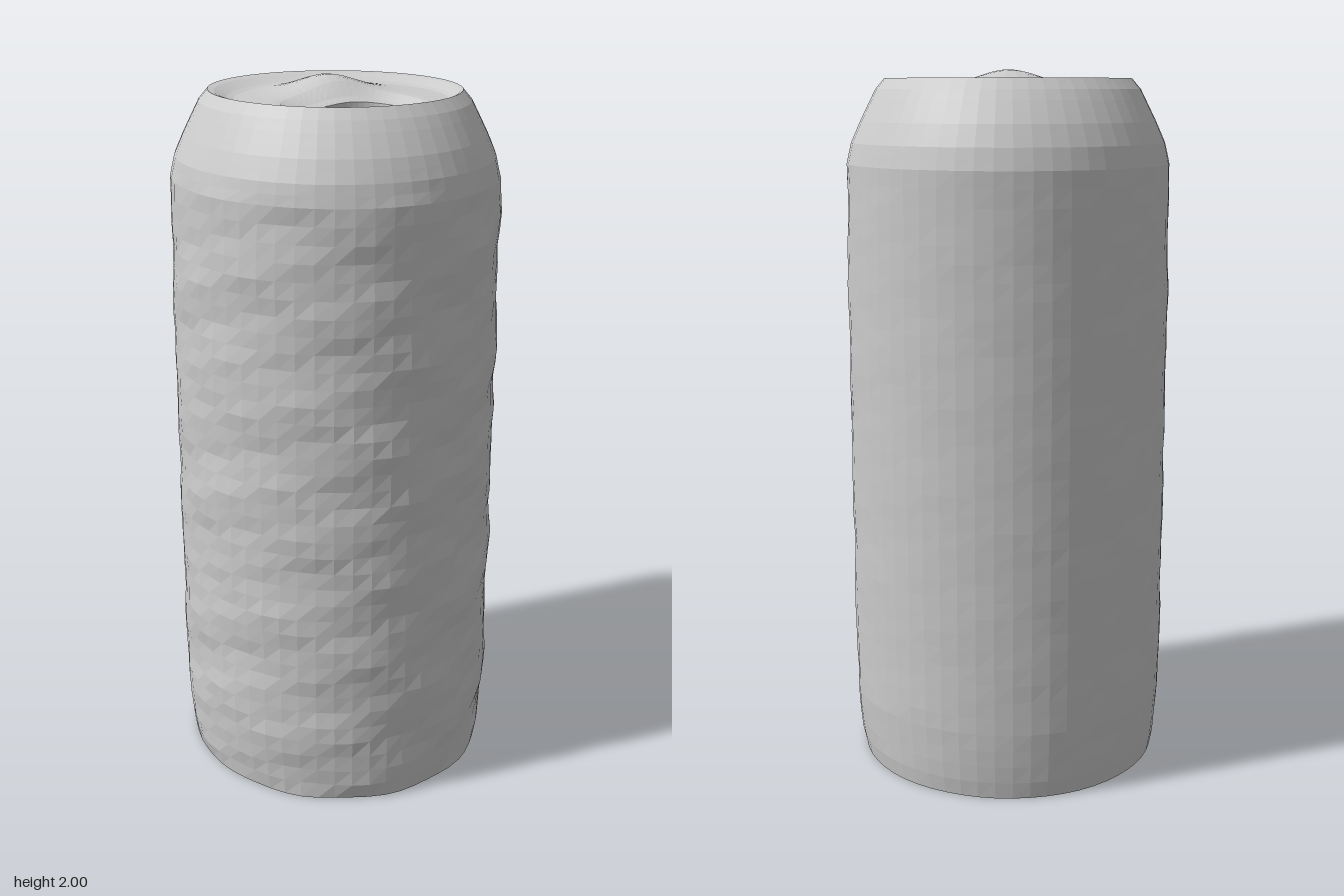
import * as THREE from 'three';

const SEG = 56;
const material = new THREE.MeshStandardMaterial({ color: 0xcccccc, flatShading: true, side: THREE.DoubleSide });
const smooth = (a, b, v) => THREE.MathUtils.smoothstep(v, a, b);

// Ring-by-ring surface; point(t, angle) gives a vertex, t runs 0..1
function ringSurface(name, rows, point) {
  const pos = [], index = [];
  for (let r = 0; r <= rows; r++)
    for (let s = 0; s < SEG; s++) pos.push(...point(r / rows, (s / SEG) * Math.PI * 2));
  for (let r = 0; r < rows; r++)
    for (let s = 0; s < SEG; s++) {
      const a = r * SEG + s, b = r * SEG + (s + 1) % SEG;
      index.push(a, b, b + SEG, a, b + SEG, a + SEG);
    }
  const g = new THREE.BufferGeometry();
  g.setAttribute('position', new THREE.Float32BufferAttribute(pos, 3));
  g.setIndex(index);
  g.computeVertexNormals();
  const mesh = new THREE.Mesh(g, material);
  mesh.name = name;
  return mesh;
}

// Half widths [y, x, z] up the can
const PROFILE = [
  [0, 0.435, 0.46], [0.06, 0.447, 0.468], [0.2, 0.457, 0.475], [0.5, 0.46, 0.476],
  [1, 0.461, 0.478], [1.4, 0.462, 0.481], [1.74, 0.458, 0.485], [1.8, 0.445, 0.472],
  [1.86, 0.418, 0.447], [1.92, 0.388, 0.41], [1.96, 0.368, 0.382], [1.975, 0.35, 0.367],
];
function halfWidths(y) {
  let i = 0;
  while (i < PROFILE.length - 2 && y > PROFILE[i + 1][0]) i++;
  const p = PROFILE[i], q = PROFILE[i + 1], k = (y - p[0]) / (q[0] - p[0]);
  return [p[1] + (q[1] - p[1]) * k, p[2] + (q[2] - p[2]) * k];
}

// Small dents, strong on the front and faint on the back
function dent(a, y) {
  const n = Math.sin(19 * y + 3 * Math.sin(2 * a)) * 0.4 + Math.sin(31 * y - 5 * a) * 0.3
    + Math.sin(9 * a + 13 * y) * 0.3 + Math.sin(47 * y + 11 * a) * 0.25;
  const front = 0.15 + 0.85 * smooth(-0.5, 0.5, Math.cos(a));
  return 0.007 * n * front * (1 - smooth(1.65, 1.85, y));
}

function wallPoint(y, a) {
  const [rx, rz] = halfWidths(y), d = dent(a, y);
  return [Math.sin(a) * (rx + d), y, Math.cos(a) * (rz + d)];
}

// Opening in the lid: a rounded bean, pulled down at the back right
function holePoint(a, grow) {
  const s = Math.sin(a), c = Math.cos(a);
  const back = 0.105 + 0.045 * s;
  return [0.022 + 0.143 * s * grow, 0.16 + (c > 0 ? 0.1 : back) * c * grow];
}

// Lid height: raised rim, gentle swell in the middle, sinking to the opening
function lidHeight(x, z, t) {
  const rim = 0.022 * (1 - smooth(0, 0.3, t));
  const swell = 0.046 * Math.exp(-(x * x + (z + 0.1) ** 2) / 0.014);
  return 1.953 + rim + swell * smooth(0, 0.3, t) - 0.022 * smooth(0.75, 1, t);
}
function lidPoint(t, a) {
  const [ox, , oz] = wallPoint(1.975, a), [hx, hz] = holePoint(a, 1.06);
  const x = ox + (hx - ox) * t, z = oz + (hz - oz) * t;
  return [x, lidHeight(x, z, t), z];
}

export function createModel() {
  const can = new THREE.Group();
  can.name = 'drinkCan';

  // Body wall, open at the bottom, with the sloped shoulder
  can.add(ringSurface('bodyWall', 36, (t, a) => wallPoint(t * 1.74, a)));
  can.add(ringSurface('shoulder', 8, (t, a) => wallPoint(1.74 + t * 0.235, a)));

  // Lid with the drinking hole
  can.add(ringSurface('lid', 14, lidPoint));

  // Lip turned down into the hole
  can.add(ringSurface('holeLip', 2, (t, a) => {
    const [x, z] = holePoint(a, 1.06 - 0.06 * t);
    const top = lidPoint(1, a)[1];
    return [x, top - t * (0.02 + 0.03 * smooth(0, 1, -Math.cos(a))), z];
  }));

  // Torn scrap hanging from the back of the lip
  const scrap = new THREE.BufferGeometry();
  scrap.setAttribute('position', new THREE.Float32BufferAttribute(
    [0.01, 1.9, 0.07, 0.05, 1.87, 0.115, 0.05, 1.9, 0.06], 3));
  scrap.computeVertexNormals();
  const scrapMesh = new THREE.Mesh(scrap, material);
  scrapMesh.name = 'tornScrap';
  can.add(scrapMesh);

  return can;
}
